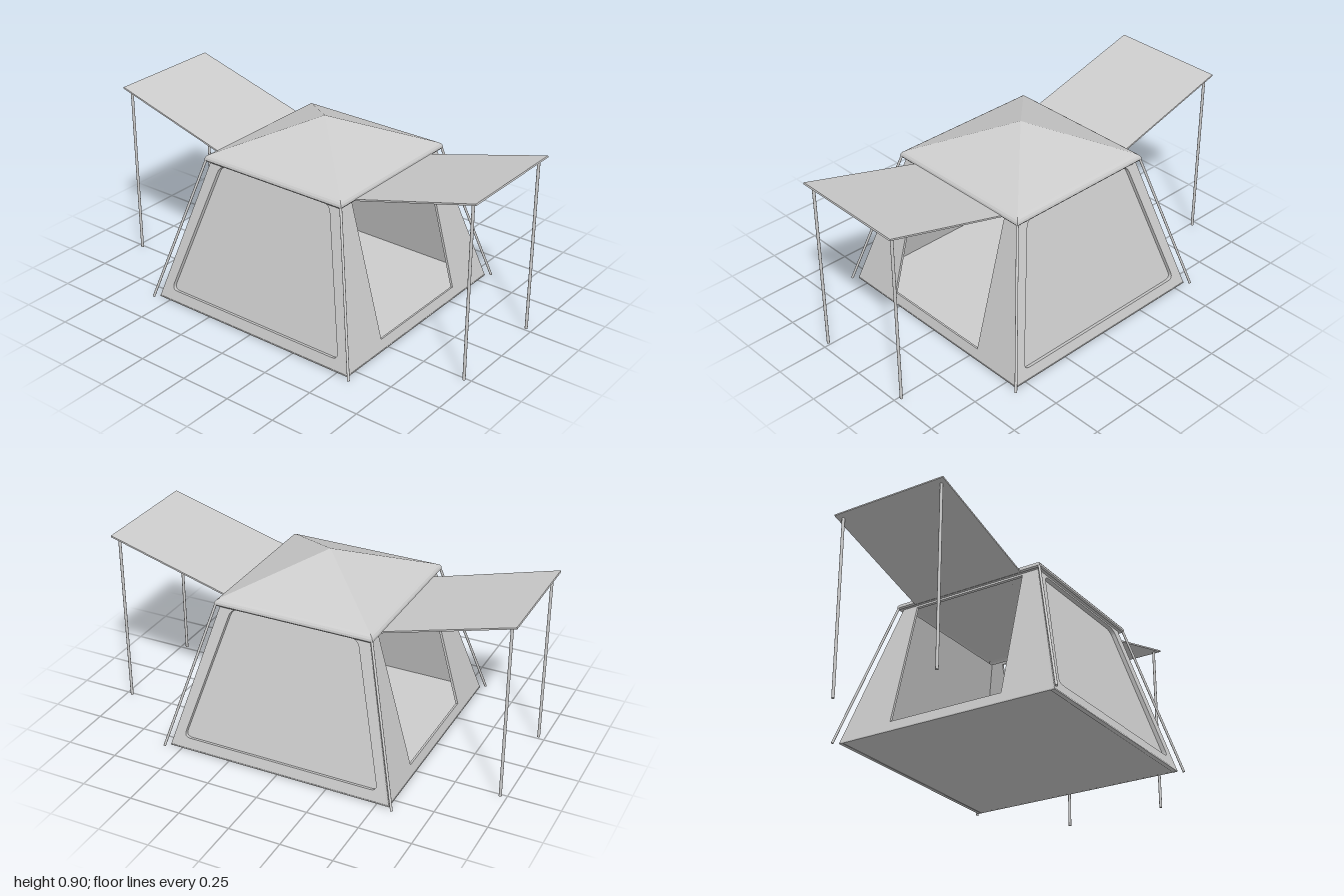
import * as THREE from 'three';

const canvas = new THREE.MeshStandardMaterial({ color: 0xcccccc, side: THREE.DoubleSide });
canvas.name = 'lightGrey';

const BASE = 0.56, TOP = 0.37, EAVE = 0.705, THICK = 0.02;
const LEAN = Math.atan((BASE - TOP) / EAVE);
const slant = y => y / Math.cos(LEAN);              // height -> distance up the wall
const halfWidth = y => BASE - Math.tan(LEAN) * y;

function add(parent, name, geometry) {
  const mesh = new THREE.Mesh(geometry, canvas);
  mesh.name = name;
  parent.add(mesh);
  return mesh;
}

// Round pole between two points
function pole(parent, name, a, b, r) {
  const dir = b.clone().sub(a);
  const mesh = add(parent, name, new THREE.CylinderGeometry(r, r, dir.length(), 12));
  mesh.position.copy(a).add(b).multiplyScalar(0.5);
  mesh.quaternion.setFromUnitVectors(new THREE.Vector3(0, 1, 0), dir.normalize());
}

// Closed outline with rounded corners
function roundedOutline(points, r, target) {
  const n = points.length;
  points.forEach((p, i) => {
    const toPrev = points[(i + n - 1) % n].clone().sub(p).setLength(r).add(p);
    const toNext = points[(i + 1) % n].clone().sub(p).setLength(r).add(p);
    if (i === 0) target.moveTo(toPrev.x, toPrev.y);
    else target.lineTo(toPrev.x, toPrev.y);
    target.quadraticCurveTo(p.x, p.y, toNext.x, toNext.y);
  });
  target.closePath();
  return target;
}

function trapezoid(y0, w0, y1, w1) {
  return [[-w0, y0], [w0, y0], [w1, y1], [-w1, y1]].map(([x, y]) => new THREE.Vector2(x, slant(y)));
}

const extrude = (shape, depth, z) =>
  new THREE.ExtrudeGeometry(shape, { depth, bevelEnabled: false, curveSegments: 6 }).translate(0, 0, z);

// Leaning wall, with either a recessed window panel or an open doorway
function wall(name, turn, isDoor) {
  const pivot = new THREE.Group();
  pivot.name = name;
  pivot.rotation.y = turn;
  const leaning = new THREE.Group();
  leaning.position.z = BASE;
  leaning.rotation.x = -LEAN;
  pivot.add(leaning);

  const frame = new THREE.Shape(trapezoid(0.003, BASE, EAVE, TOP));
  if (isDoor) {
    frame.holes.push(new THREE.Path(trapezoid(0.053, 0.29, 0.692, 0.29)));
  } else {
    const opening = trapezoid(0.055, 0.495, 0.692, 0.315);
    frame.holes.push(roundedOutline(opening, 0.035, new THREE.Path()));
    const panel = new THREE.Shape(trapezoid(0.03, halfWidth(0.03) - 0.025, 0.7, TOP - 0.025));
    add(leaning, 'windowPanel', extrude(panel, 0.004, -THICK - 0.003));
  }
  const t = isDoor ? 0.012 : THICK;
  add(leaning, 'wallFrame', extrude(frame, t, -t));
  return pivot;
}

export function createModel() {
  const tent = new THREE.Group();
  tent.name = 'tent';

  add(tent, 'floor', new THREE.BoxGeometry(2 * BASE, 0.006, 2 * BASE)).position.y = 0.003;

  // Walls: closed front and back, open sides
  ['frontWall', 'leftWall', 'backWall', 'rightWall'].forEach((name, i) =>
    tent.add(wall(name, i * Math.PI / 2, i % 2 === 1)));

  // Pyramid roof with a rolled eave
  const profile = [[0.368, 0.703], [0.388, 0.7], [0.393, 0.707], [0.391, 0.718],
    [0.385, 0.727], [0.374, 0.734], [0, 0.9]]
    .map(([r, y]) => new THREE.Vector2(r * Math.SQRT2, y));
  const roof = new THREE.LatheGeometry(profile, 4, Math.PI / 4).toNonIndexed();
  roof.computeVertexNormals();
  add(tent, 'roof', roof);

  // Splayed corner poles
  for (const sx of [-1, 1]) for (const sz of [-1, 1]) {
    pole(tent, 'cornerPole', new THREE.Vector3(0.582 * sx, 0.001, 0.582 * sz),
      new THREE.Vector3(0.385 * sx, 0.715, 0.385 * sz), 0.006);
  }

  // Raised door flaps used as awnings, each on two poles
  for (const side of [-1, 1]) {
    const awning = new THREE.Group();
    awning.name = side > 0 ? 'leftAwning' : 'rightAwning';
    const dx = 0.61, dy = 0.17;
    const sheet = add(awning, 'awningSheet', new THREE.BoxGeometry(Math.hypot(dx, dy), 0.008, 0.58));
    sheet.position.set(side * 0.694, 0.789, 0);
    sheet.rotation.z = side * Math.atan2(dy, dx);
    for (const z of [-0.263, 0.263]) {
      pole(awning, 'awningPole', new THREE.Vector3(side * 0.97, 0, z),
        new THREE.Vector3(side * 0.97, 0.863, z), 0.007);
    }
    tent.add(awning);
  }
  return tent;
}
